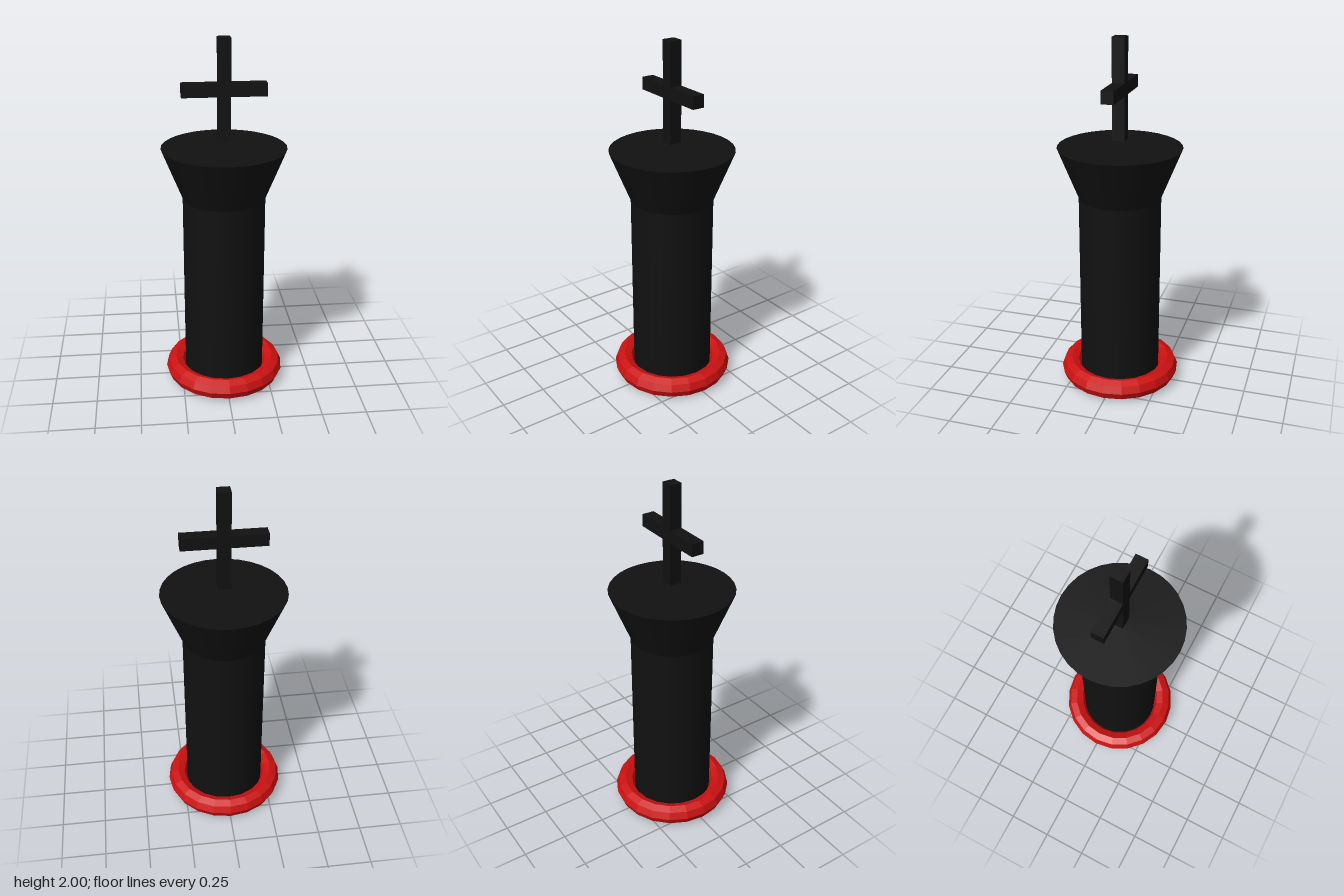
import * as THREE from 'three';

const black = new THREE.MeshStandardMaterial({ color: 0x111111 });
const red = new THREE.MeshStandardMaterial({ color: 0xcc1111, flatShading: true });

export function createModel() {
  const group = new THREE.Group();
  const add = (name, geometry, material, y) => {
    const mesh = new THREE.Mesh(geometry, material);
    mesh.name = name;
    mesh.position.y = y;
    group.add(mesh);
    return mesh;
  };

  // Ring around the foot
  const ring = add('baseRing', new THREE.TorusGeometry(0.286, 0.057, 8, 20), red, 0.06);
  ring.rotation.x = Math.PI / 2;

  // Column and flared head
  add('column', new THREE.CylinderGeometry(0.229, 0.229, 1.13, 32), black, 0.565);
  add('flaredHead', new THREE.CylinderGeometry(0.343, 0.229, 0.286, 32), black, 1.267);

  // Cross floating just above the head
  add('crossUpright', new THREE.BoxGeometry(0.069, 0.55, 0.069), black, 1.725);
  add('crossBar', new THREE.BoxGeometry(0.457, 0.069, 0.069), black, 1.727);

  return group;
}
